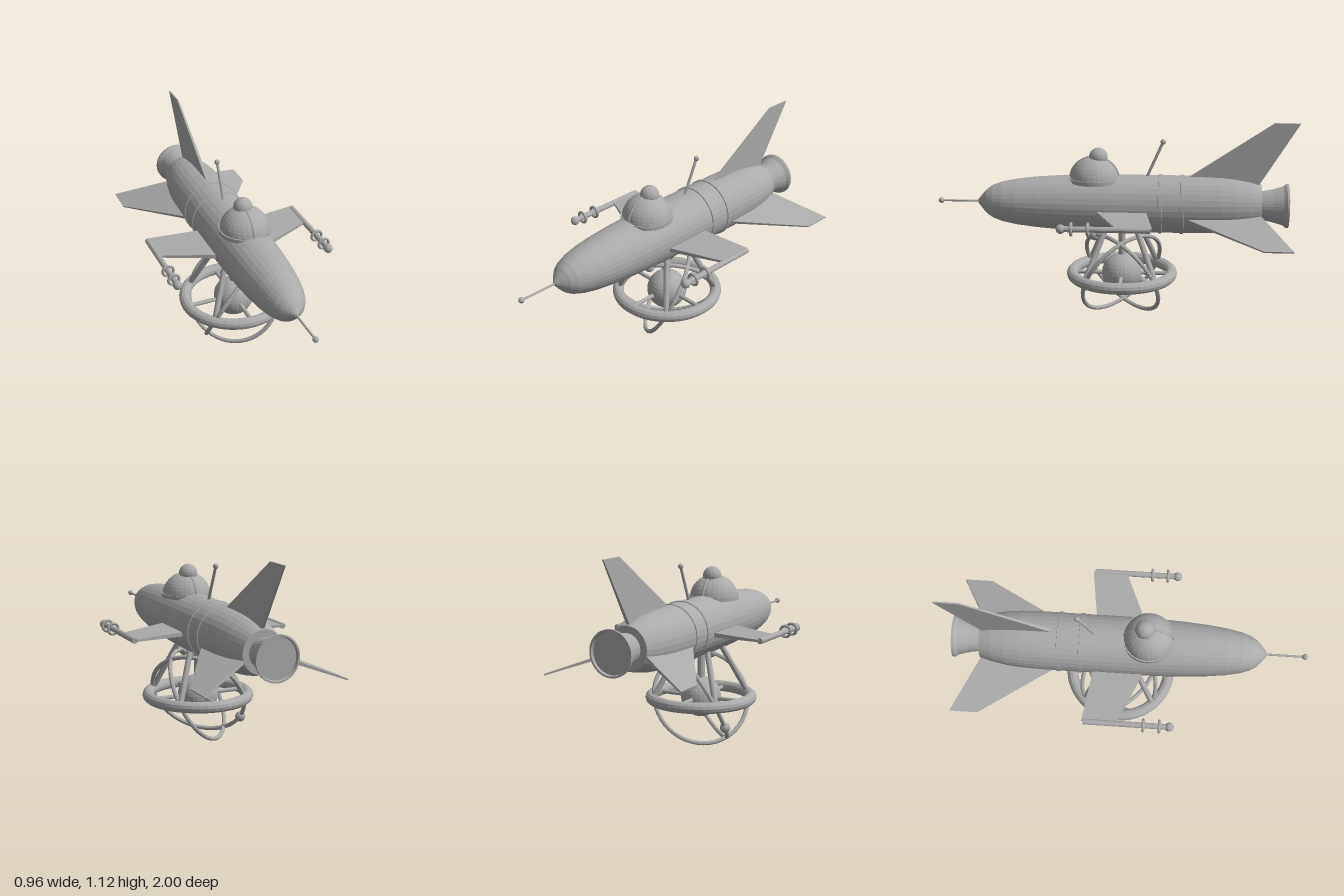
import * as THREE from 'three';

const hull = new THREE.MeshStandardMaterial({ color: 0xaaaaaa, flatShading: true });
hull.name = 'hull grey';

const AXIS_Y = 0.663; // height of the fuselage axis
const POD = new THREE.Vector3(0, 0.257, -0.033); // centre of the hanging pod

export function createModel() {
  const model = new THREE.Group();
  model.name = 'rocketShip';

  const add = (name, geometry, x = 0, y = 0, z = 0) => {
    const mesh = new THREE.Mesh(geometry, hull);
    mesh.name = name;
    mesh.position.set(x, y, z);
    model.add(mesh);
    return mesh;
  };
  const ball = (name, r, x, y, z, seg = 16) =>
    add(name, new THREE.SphereGeometry(r, seg, Math.round(seg * 0.6)), x, y, z);
  // round bar between two points
  const bar = (name, a, b, r) => {
    const from = new THREE.Vector3(...a), dir = new THREE.Vector3(...b).sub(from);
    const mesh = add(name, new THREE.CylinderGeometry(r, r, dir.length(), 12));
    mesh.position.copy(from).addScaledVector(dir, 0.5);
    mesh.quaternion.setFromUnitVectors(new THREE.Vector3(0, 1, 0), dir.normalize());
    return mesh;
  };
  // body of revolution along z, points are [radius, z] from rear to front
  const turned = (name, points, y) => add(name, new THREE.LatheGeometry(
    points.map(([r, z]) => new THREE.Vector2(r, z)), 32).rotateX(Math.PI / 2), 0, y, 0);
  // tapered fin reaching outward at an angle; root and tip are [span, frontZ, backZ, thickness]
  const fin = (name, root, tip, angle, y) => {
    const geo = new THREE.BoxGeometry(1, 1, 1), p = geo.attributes.position;
    for (let i = 0; i < p.count; i++) {
      const [span, front, back, thick] = p.getX(i) < 0 ? root : tip;
      p.setXYZ(i, span, p.getY(i) * thick, p.getZ(i) > 0 ? front : back);
    }
    geo.computeVertexNormals();
    add(name, geo, 0, y, 0).rotation.z = angle;
  };

  // fuselage and nose
  turned('fuselage', [[0, -0.8], [0.116, -0.8], [0.135, -0.73], [0.148, -0.66], [0.156, -0.58],
    [0.16, -0.46], [0.16, 0.05], [0.157, 0.18], [0.151, 0.32], [0.142, 0.44], [0.129, 0.55],
    [0.113, 0.63], [0.094, 0.685], [0.072, 0.72]], AXIS_Y);
  turned('noseCone', [[0.074, 0.717], [0.045, 0.745], [0.012, 0.772], [0, 0.775]], AXIS_Y);
  bar('noseProbe', [0, AXIS_Y, 0.75], [0, AXIS_Y, 0.985], 0.006);
  ball('probeTip', 0.016, 0, AXIS_Y, 0.984);
  for (const z of [-0.245, -0.365])
    turned('hullBand', [[0.158, z - 0.011], [0.165, z - 0.009], [0.165, z + 0.009], [0.158, z + 0.011]], AXIS_Y);

  // engine nozzle with recessed end plate
  turned('nozzle', [[0, -0.935], [0.108, -0.935], [0.112, -0.95], [0.121, -0.95], [0.121, -0.938],
    [0.107, -0.92], [0.09, -0.86], [0.078, -0.795]], AXIS_Y);

  // tail fins and wings
  fin('tailFin', [0.1, -0.32, -0.775, 0.02], [0.462, -0.86, -1.0, 0.008], Math.PI / 2, AXIS_Y);
  const sideRoot = [0.1, -0.31, -0.79, 0.02], sideTip = [0.42, -0.8, -0.955, 0.008];
  const wingRoot = [0.1, 0.12, -0.165, 0.026], wingTip = [0.44, -0.025, -0.215, 0.012];
  const droop = 0.35;
  fin('leftTailFin', sideRoot, sideTip, -droop, AXIS_Y);
  fin('rightTailFin', sideRoot, sideTip, Math.PI + droop, AXIS_Y);
  fin('leftWing', wingRoot, wingTip, 0, 0.642);
  fin('rightWing', wingRoot, wingTip, Math.PI, 0.642);

  // wing tip guns
  for (const side of [-1, 1]) {
    const x = side * 0.443, y = 0.64;
    bar('gunBarrel', [x, y, -0.205], [x, y, 0.26], 0.016);
    ball('gunTip', 0.025, x, y, 0.262);
    for (const z of [0.12, 0.207])
      add('gunRing', new THREE.TorusGeometry(0.03, 0.008, 8, 20), x, y, z);
  }

  // cockpit dome, rib and top light
  add('domeBase', new THREE.CylinderGeometry(0.142, 0.142, 0.022, 32), 0, 0.801, 0.12);
  add('cockpitDome', new THREE.SphereGeometry(0.136, 28, 10, 0, Math.PI * 2, 0, Math.PI / 2), 0, 0.797, 0.12)
    .scale.y = 0.96;
  add('domeRib', new THREE.TorusGeometry(0.135, 0.007, 6, 24, Math.PI).rotateY(Math.PI / 2), 0, 0.797, 0.12)
    .scale.y = 0.96;
  ball('domeLight', 0.052, 0, 0.924, 0.098, 20);

  // antenna
  bar('antenna', [0, 0.81, -0.168], [0, 1.014, -0.258], 0.008);
  ball('antennaTip', 0.015, 0, 1.014, -0.258);

  // hanging pod: sphere, ring, spokes and legs
  ball('podSphere', 0.113, POD.x, POD.y, POD.z, 28);
  add('podRing', new THREE.TorusGeometry(0.28, 0.032, 12, 48).rotateX(Math.PI / 2), POD.x, POD.y, POD.z);
  bar('podColumn', [0, 0.35, POD.z], [0, 0.53, POD.z], 0.021);
  for (const dir of [-1, 1]) {
    bar('podSpoke', [0, POD.y, POD.z], [dir * 0.28, POD.y, POD.z], 0.012);
    bar('podSpoke', [0, POD.y, POD.z], [0, POD.y, POD.z + dir * 0.28], 0.012);
    for (const side of [-1, 1])
      bar('podLeg', [side * 0.08, 0.55, POD.z + dir * 0.08],
        [side * 0.198, POD.y, POD.z + dir * 0.198], 0.016);
  }

  // two tilted orbit hoops, each carrying a small ball
  const beads = { 1: [-0.211, -0.129, -0.113], '-1': [0.017, 0.222, 0.153] };
  for (const s of [1, -1]) {
    const hoop = add('orbitHoop', new THREE.TorusGeometry(0.27, 0.012, 8, 48), POD.x, POD.y, POD.z);
    hoop.quaternion.setFromUnitVectors(new THREE.Vector3(0, 0, 1),
      new THREE.Vector3(-0.62, 0.467, s * 0.626).normalize());
    const [x, y, z] = beads[s];
    ball('orbitBall', 0.029, POD.x + x, POD.y + y, POD.z + z);
  }

  return model;
}
